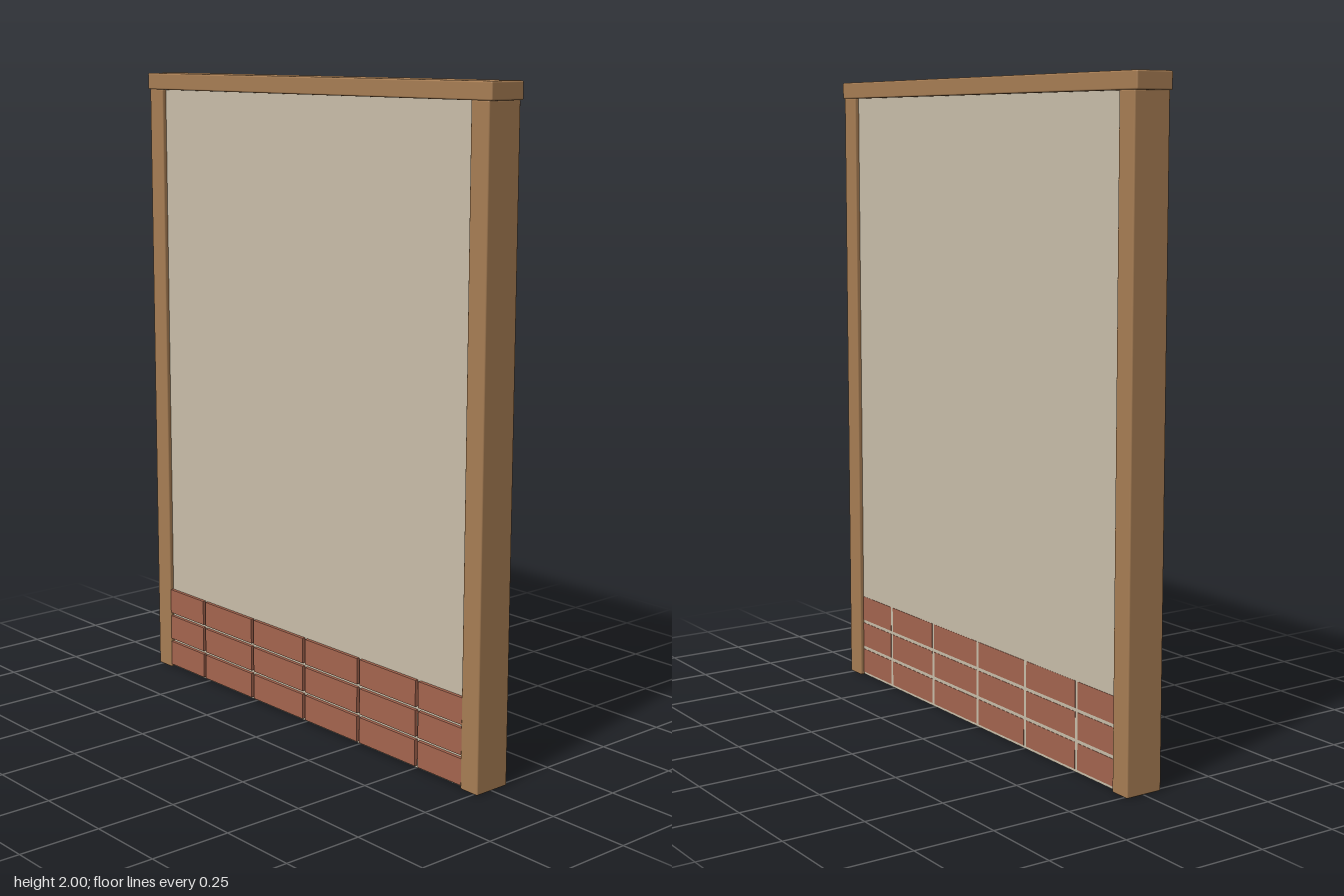
import * as THREE from 'three';
import { RoundedBoxGeometry } from 'three/addons/geometries/RoundedBoxGeometry.js';

const material = (name, color) => {
  const m = new THREE.MeshStandardMaterial({ color });
  m.name = name;
  return m;
};

// Box given by its minimum and maximum corners, with optional softened edges
function box(name, mat, [x0, y0, z0], [x1, y1, z1], radius = 0) {
  const size = [x1 - x0, y1 - y0, z1 - z0];
  const geometry = radius
    ? new RoundedBoxGeometry(...size, 2, radius)
    : new THREE.BoxGeometry(...size);
  const mesh = new THREE.Mesh(geometry, mat);
  mesh.name = name;
  mesh.position.set((x0 + x1) / 2, (y0 + y1) / 2, (z0 + z1) / 2);
  return mesh;
}

export function createModel() {
  const wood = material('wood', 0xa87e54);
  const plaster = material('plaster', 0xcabfaa);
  const brick = material('brick', 0xa5654f);
  const group = new THREE.Group();
  group.name = 'wallSection';

  // Timber frame: two posts under a slightly wider beam
  group.add(box('rightPost', wood, [-0.765, 0, -0.061], [-0.697, 1.95, 0.061], 0.005));
  group.add(box('leftPost', wood, [0.697, 0, -0.061], [0.765, 1.95, 0.061], 0.005));
  group.add(box('topBeam', wood, [-0.775, 1.948, -0.062], [0.775, 2, 0.062], 0.005));

  // Recessed plaster panel
  group.add(box('plasterPanel', plaster, [-0.7, 0.002, -0.047], [0.7, 1.95, 0.047]));

  // Stacked brick courses, proud of the front and almost flush at the back
  const bricks = new THREE.Group();
  bricks.name = 'brickCourses';
  const pitch = 0.2555, gap = 0.006, edge = 0.698;
  for (let row = 0; row < 3; row++) {
    const y = 0.01 + row * 0.0917;
    for (let col = -3; col < 3; col++) {
      const x0 = Math.max(-edge, col * pitch + gap);
      const x1 = Math.min(edge, (col + 1) * pitch - gap);
      bricks.add(box('brick', brick, [x0, y, -0.048], [x1, y + 0.081, 0.058]));
    }
  }
  group.add(bricks);
  return group;
}
